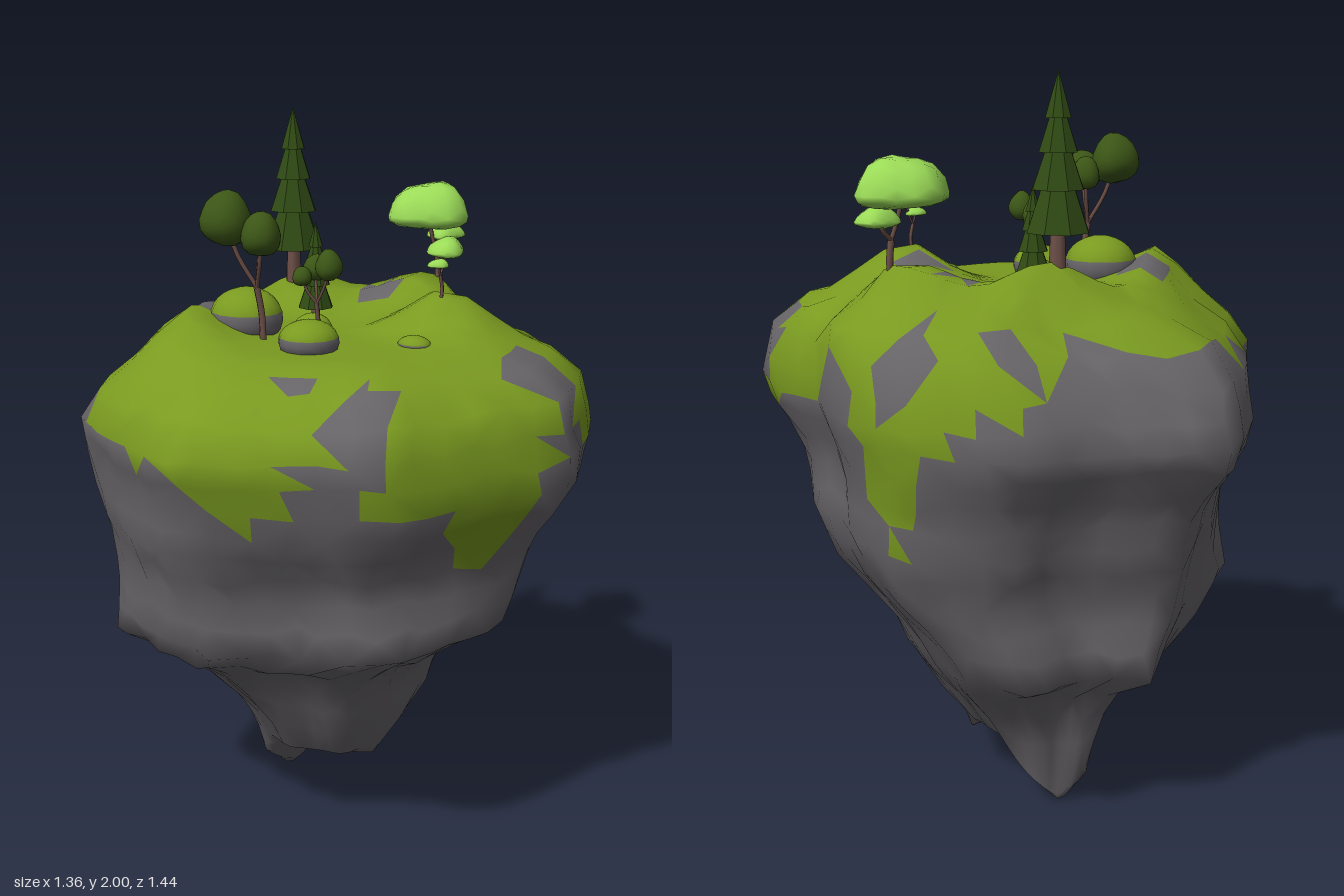
import * as THREE from 'three';
import { mergeVertices } from 'three/addons/utils/BufferGeometryUtils.js';

const mat = (color, flat = false) => new THREE.MeshStandardMaterial({ color, flatShading: flat });
const GRASS = mat(0x7a9a20), ROCK = mat(0x686569), BARK = mat(0x6e5048);
const DARK = mat(0x3c5616), LIGHT = mat(0x9cdc58), PINE = mat(0x2f4a14, true);

function add(parent, name, geo, material) {
  const m = new THREE.Mesh(geo, material);
  m.name = name;
  parent.add(m);
  return m;
}
function seeded(seed) {
  return () => {
    seed = (seed * 16807) % 2147483647;
    return seed / 2147483647;
  };
}

// Rim radius and lower edge of the grass, every 15 degrees from +x towards +z
const RIM = [.68, .635, .705, .765, .735, .74, .67, .65, .68, .655, .675, .72,
  .66, .655, .665, .605, .625, .655, .72, .65, .615, .675, .69, .71];
const EDGE = [1.34, 1.2, 1.14, 1.14, 1.2, 1.3, .86, 1.12, 1.13, 1.27, 1.06, 1.2,
  1.22, 1.26, 1.28, 1.28, 1.27, 1.31, 1.37, 1.33, 1.36, 1.22, 1.18, .84];
function around(table, angle) {
  const t = ((angle / (Math.PI * 2)) % 1 + 1) % 1 * table.length;
  const i = Math.floor(t);
  return THREE.MathUtils.lerp(table[i % table.length], table[(i + 1) % table.length], t - i);
}

// Cross-sections of the island: y, min x, max x, min z, max z
const LEVELS = [
  [1.39, -.59, .63, -.47, .58], [1.33, -.65, .66, -.59, .68], [1.25, -.685, .67, -.66, .70],
  [1.18, -.66, .675, -.69, .715], [1.12, -.64, .665, -.72, .72], [1.05, -.635, .65, -.69, .69],
  [.98, -.63, .635, -.64, .65], [.91, -.60, .625, -.595, .62], [.84, -.57, .62, -.585, .61],
  [.77, -.56, .585, -.56, .61], [.70, -.54, .55, -.535, .60], [.62, -.48, .49, -.52, .49],
  [.54, -.36, .45, -.515, .37], [.46, -.28, .41, -.50, .31], [.39, -.23, .36, -.39, .28],
  [.30, -.16, .29, -.345, .23], [.20, -.10, .22, -.30, .165],
];
// Buttresses (+) and hollows (-) in the cliffs: degrees, y, amount, width in degrees, height
const BULGES = [[215, .57, .28, 28, .15], [215, .82, .06, 25, .12], [60, .72, -.12, 28, .2], [145, .82, -.09, 25, .2],
  [325, .48, .13, 25, .25], [78, .45, -.14, 16, .16], [105, .7, .06, 18, .1], [180, .4, -.06, 18, .15],
  [160, 1.39, -.1, 25, .08], [35, 1, -.07, 25, .12], [35, 1.39, -.06, 25, .07]];
function bulge(angle, y) {
  return BULGES.reduce((sum, [deg, h, k, w, t]) => {
    const d = ((angle * 180 / Math.PI - deg + 540) % 360 + 360) % 360 - 180;
    return sum + k * Math.exp(-((d / w) ** 2) - ((y - h) / t) ** 2);
  }, 1);
}
// Gentle hills around a central hollow: x, z, height, radius
const HILLS = [[.22, -.31, .12, .15], [.24, .25, .11, .13], [.44, -.02, .1, .16], [-.38, -.18, .09, .17], [-.2, -.34, .07, .16]];
const hillHeight = (x, z) => HILLS.reduce((h, [a, b, k, r]) =>
  h + k * Math.exp(-((x - a) ** 2 + (z - b) ** 2) / (r * r)), 1.435);
// Bare stone showing through the grass: x, z, radius
const BARE = [[.32, -.08, .06], [-.19, -.22, .08], [.25, .16, .055], [-.38, .31, .045], [-.34, .5, .08],
  [.24, .57, .1], [.54, .47, .08], [.42, -.37, .05], [.6, -.2, .07], [.3, -.52, .08], [-.16, -.6, .06]];

function buildIsland(group) {
  const N = 48, rnd = seeded(77), pos = [], index = [];
  const rings = [];
  for (const s of [0, .15, .3, .45, .6, .74, .87]) rings.push({ L: LEVELS[0], s, top: true });
  for (const L of LEVELS) rings.push({ L, s: 1 });
  for (const s of [.88, .75, .6, .45, .3, .15, 0]) rings.push({ L: LEVELS.at(-1), s, tip: true });
  rings.forEach(({ L, s, top, tip }) => {
    const [y0, x0, x1, z0, z1] = L;
    const cx = (x0 + x1) / 2, cz = (z0 + z1) / 2;
    for (let j = 0; j < N; j++) {
      const a = (j + (rnd() - .5) * (tip ? 0 : .4)) / N * Math.PI * 2;
      // fine vertical ridges in the cliffs
      const w = THREE.MathUtils.clamp((1.15 - y0) * 2, 0, 1);
      const k = s * (bulge(a, y0) + w * (.02 * Math.sin(4 * a + 3 * y0) + .02 * Math.sin(7 * a - 2 * y0)));
      const r = around(RIM, a) * k;
      const x = cx + Math.cos(a) * r / .69 * (x1 - x0) / 2;
      const z = cz + Math.sin(a) * r / .715 * (z1 - z0) / 2;
      let y = y0 + (s === 1 && y0 > .25 ? (rnd() - .5) * .03 : 0);
      if (top) y = THREE.MathUtils.lerp(y0, hillHeight(x, z), Math.min(1, (1 - s) * 4.5));
      if (tip) {
        // two hanging points, the rear one reaching lowest
        const rear = Math.max(0, 1 - Math.hypot((x - .09) / (x < .09 ? .22 : .18), (z + .21) / (z < -.21 ? .11 : .17)));
        const fore = Math.max(0, 1 - Math.hypot((x - .15) / .16, (z - .1) / .11));
        y = Math.max(0, .2 - Math.max(.02 * (1 - s), .215 * rear ** .85, .07 * fore));
      }
      pos.push(x, y, z);
    }
  });
  for (let i = 0; i < rings.length - 1; i++) for (let j = 0; j < N; j++) {
    const a = i * N + j, b = i * N + (j + 1) % N, c = a + N, d = b + N;
    if ((i + j) % 2) index.push(a, b, c, b, d, c);
    else index.push(a, b, d, a, d, c);
  }
  let geo = new THREE.BufferGeometry();
  geo.setAttribute('position', new THREE.Float32BufferAttribute(pos, 3));
  geo.setIndex(index);
  geo = mergeVertices(geo);
  geo.computeVertexNormals();

  // share the surface between turf and stone, face by face
  const p = geo.attributes.position, ids = geo.index.array, turf = [], stone = [];
  for (let f = 0; f < ids.length; f += 3) {
    const t = [ids[f], ids[f + 1], ids[f + 2]];
    const [x, y, z] = ['getX', 'getY', 'getZ'].map(g => t.reduce((sum, i) => sum + p[g](i) / 3, 0));
    const bare = y > 1.2 && BARE.some(([a, b, r]) => Math.hypot(x - a, z - b) < r);
    (y > around(EDGE, Math.atan2(z, x)) && !bare ? turf : stone).push(...t);
  }
  for (const [name, list, m] of [['grass', turf, GRASS], ['cliff', stone, ROCK]]) {
    const part = geo.clone();
    part.setIndex(list);
    add(group, name, part, m);
  }
}

// Lumpy smooth ball; "base" flattens its underside, "taper" narrows its top
function blob(parent, name, [x, y, z], [rx, ry, rz], material, base, taper, lump) {
  let g = new THREE.IcosahedronGeometry(1, 2);
  g.deleteAttribute('uv');
  g.deleteAttribute('normal');
  g = mergeVertices(g, 1e-3);
  const p = g.attributes.position, v = new THREE.Vector3();
  for (let i = 0; i < p.count; i++) {
    v.fromBufferAttribute(p, i);
    const n = 1 + lump * Math.sin(3 * v.x + 40 * x) * Math.cos(3 * v.z + 40 * z);
    const k = n * (1 - taper * v.y);
    p.setXYZ(i, v.x * k * rx, (v.y < 0 ? v.y * base : v.y) * n * ry, v.z * k * rz);
  }
  g.computeVertexNormals();
  add(parent, name, g, material).position.set(x, y, z);
}
function branch(parent, name, points, r) {
  const curve = new THREE.CatmullRomCurve3(points.map(q => new THREE.Vector3(...q)));
  add(parent, name, new THREE.TubeGeometry(curve, 8, r, 6), BARK);
}

// Conifer of stacked, faceted skirts
function pine(group, x, z, ground, bottom, top, r) {
  const tree = new THREE.Group(), h = top - bottom;
  tree.name = 'pine';
  tree.position.set(x, 0, z);
  add(tree, 'pineTrunk', new THREE.CylinderGeometry(r * .2, r * .28, bottom - ground + .06, 7), BARK)
    .position.y = (bottom + ground + .06) / 2;
  [[0, .3, 1, .5], [.27, .53, .82, .38], [.5, .74, .62, .24], [.71, 1, .42, 0]]
    .forEach(([a, b, wide, narrow]) => {
      const skirt = add(tree, 'pineSkirt', new THREE.CylinderGeometry(r * narrow, r * wide, h * (b - a), 8), PINE);
      skirt.position.y = bottom + h * (a + b) / 2;
      skirt.rotation.y = Math.PI / 8;
    });
  group.add(tree);
}

// Leafy tree: one limb from the fork to every crown
function leafyTree(group, name, foot, fork, crowns, material, r, [base, taper, lump]) {
  const tree = new THREE.Group();
  tree.name = name;
  branch(tree, 'trunk', [foot, fork.map((v, i) => (v + foot[i]) / 2 + (i ? 0 : .006)), fork], r);
  for (const [c, size] of crowns) {
    branch(tree, 'limb', [fork, [(fork[0] + c[0] * 2) / 3, (fork[1] + c[1]) / 2, (fork[2] + c[2] * 2) / 3], c], r * .65);
    blob(tree, 'crown', c, size, material, base, taper, lump);
  }
  group.add(tree);
}

// Boulder with a turf cap
function boulder(group, x, y, z, rx, ry, rz) {
  const b = new THREE.Group();
  b.name = 'boulder';
  b.position.set(x, y, z);
  b.scale.set(rx, ry, rz);
  add(b, 'boulderTurf', new THREE.SphereGeometry(1, 14, 6, 0, Math.PI * 2, 0, 1.35), GRASS);
  add(b, 'boulderStone', new THREE.SphereGeometry(1, 14, 6, 0, Math.PI * 2, 1.35, Math.PI - 1.35), ROCK);
  group.add(b);
}

export function createModel() {
  const group = new THREE.Group();
  group.name = 'floatingIsland';
  buildIsland(group);

  pine(group, .16, -.26, 1.5, 1.61, 2, .083);
  pine(group, .075, -.08, 1.42, 1.475, 1.71, .05);

  const broad = [.4, .12, .17], round = [.9, .15, .08];
  leafyTree(group, 'broadTree', [.465, 1.48, .02], [.465, 1.59, .02], [
    [[.437, 1.705, .01], [.118, .1, .11]], [[.505, 1.64, .015], [.062, .038, .048]]], LIGHT, .009, broad);
  leafyTree(group, 'smallBroadTree', [.21, 1.52, .26], [.205, 1.59, .26], [
    [[.228, 1.65, .258], [.057, .038, .05]], [[.195, 1.618, .262], [.03, .018, .025]]], LIGHT, .005, broad);
  leafyTree(group, 'roundTree', [-.21, 1.44, .02], [-.225, 1.58, .015], [
    [[-.285, 1.755, -.03], [.066, .072, .062]], [[-.25, 1.72, .06], [.05, .06, .047]],
    [[-.19, 1.72, -.01], [.038, .05, .038]]], DARK, .009, round);
  leafyTree(group, 'smallRoundTree', [-.085, 1.42, .09], [-.085, 1.53, .09], [
    [[-.07, 1.63, .12], [.038, .044, .038]], [[-.055, 1.615, .055], [.032, .036, .03]],
    [[-.113, 1.6, .065], [.026, .028, .025]]], DARK, .006, round);

  boulder(group, -.17, 1.48, -.09, .097, .08, .1);
  boulder(group, -.175, 1.455, .155, .08, .055, .078);
  boulder(group, -.06, 1.45, .05, .052, .045, .055);
  boulder(group, .042, 1.437, .32, .04, .025, .047);
  return group;
}
